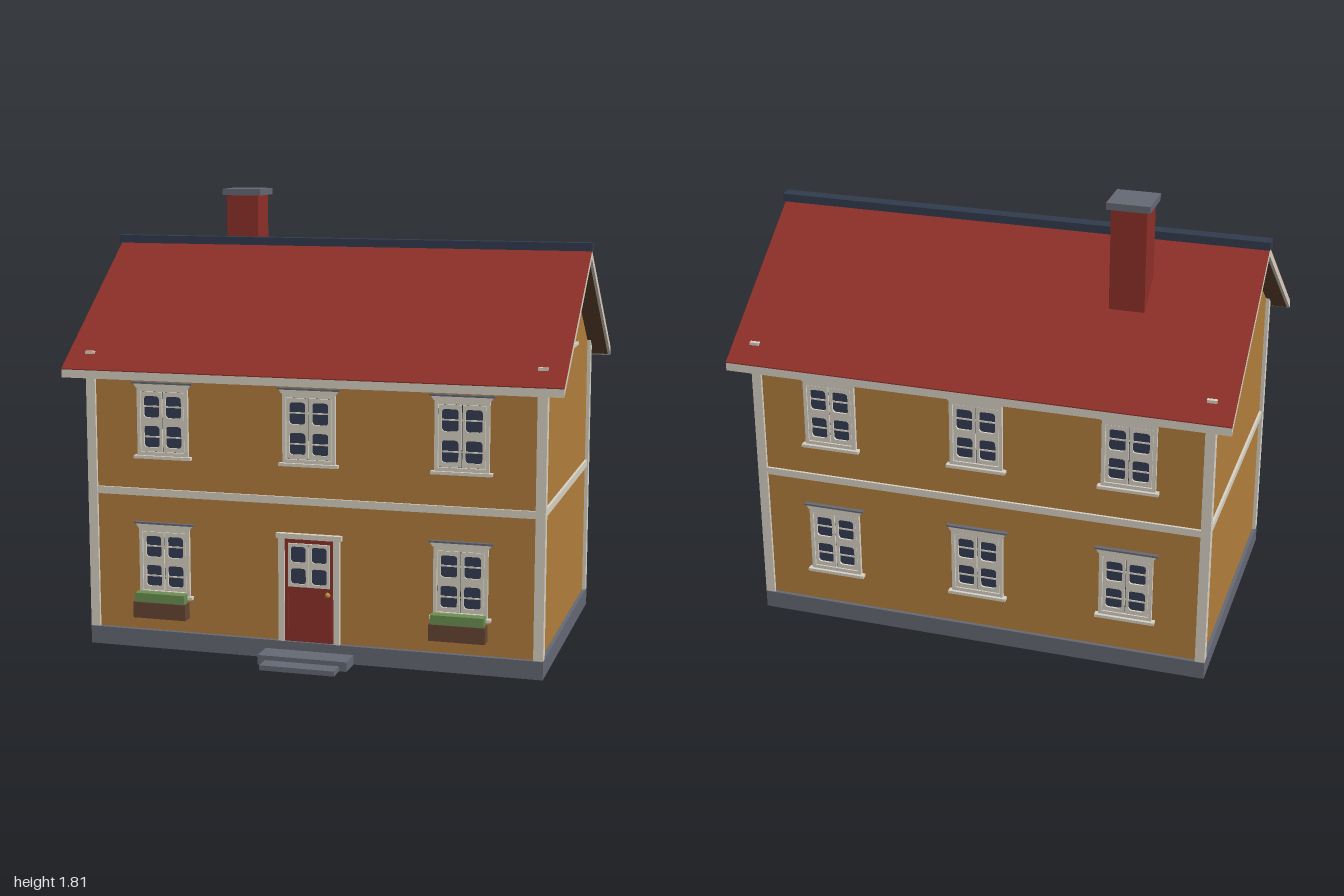
import * as THREE from 'three';

const mat = (name, color) => {
  const m = new THREE.MeshStandardMaterial({ color });
  m.name = name;
  return m;
};

export function createModel() {
  const ochre = mat('ochre boards', 0xb47f3d);
  const red = mat('falu red', 0x8f3029);
  const trim = mat('off-white trim', 0xdad4c6);
  const stone = mat('grey stone', 0x666a76);
  stone.side = THREE.DoubleSide;
  const slate = mat('dark slate', 0x323b4d);
  const glass = mat('dark glass', 0x343d54);
  const wood = mat('brown wood', 0x654633);
  const leaf = mat('leaf green', 0x6c9050);
  const brass = mat('brass', 0xc0903a);

  const model = new THREE.Group();
  model.name = 'house';
  const CZ = -0.05; // ridge line, middle of the house in z
  const HX = 0.924, HZ = 0.572; // half size over the corner boards
  const WX = 0.91, WZ = 0.56; // half size of the walls
  const SLOPE = 0.718;

  function add(parent, name, geo, material, x = 0, y = 0, z = 0) {
    const m = new THREE.Mesh(geo, material);
    m.name = name;
    m.position.set(x, y, z);
    parent.add(m);
    return m;
  }
  // box given by its min and max corners
  function box(parent, name, material, x0, x1, y0, y1, z0, z1) {
    return add(parent, name, new THREE.BoxGeometry(x1 - x0, y1 - y0, z1 - z0), material,
      (x0 + x1) / 2, (y0 + y1) / 2, (z0 + z1) / 2);
  }
  // stone shell without its bottom face
  function shell(name, ...bounds) {
    const geo = box(model, name, stone, ...bounds).geometry;
    const index = Array.from(geo.index.array);
    index.splice(18, 6);
    geo.setIndex(index);
    geo.clearGroups();
  }
  function poly(points) {
    return new THREE.Shape(points.map(p => new THREE.Vector2(p[0], p[1])));
  }
  const rect = (x0, x1, y0, y1) => poly([[x0, y0], [x1, y0], [x1, y1], [x0, y1]]);
  function roundRect(cx, cy, w, h, r) {
    const p = new THREE.Path(), x = w / 2 - r, y = h / 2 - r;
    p.absarc(cx + x, cy + y, r, 0, Math.PI / 2);
    p.absarc(cx - x, cy + y, r, Math.PI / 2, Math.PI);
    p.absarc(cx - x, cy - y, r, Math.PI, Math.PI * 1.5);
    p.absarc(cx + x, cy - y, r, Math.PI * 1.5, Math.PI * 2);
    p.closePath();
    return p;
  }
  const extrude = (shape, depth) =>
    new THREE.ExtrudeGeometry(shape, { depth, bevelEnabled: false, curveSegments: 4 });
  // profile in (z, y) extruded along x, centred on the house
  function alongX(name, points, halfLength, material) {
    const geo = extrude(poly(points), halfLength * 2);
    geo.translate(0, 0, -halfLength);
    geo.rotateY(-Math.PI / 2);
    return add(model, name, geo, material, 0, 0, CZ);
  }

  // hollow foundation, walls, corner boards and belt course
  shell('foundation', -HX, HX, 0, 0.072, CZ - HZ, CZ + HZ);
  const wallTop = 1.575 - WZ * SLOPE;
  alongX('walls', [[-WZ, 0.074], [WZ, 0.074], [WZ, wallTop], [0, 1.575], [-WZ, wallTop]], WX, ochre);
  for (const sx of [-1, 1]) for (const sz of [-1, 1]) {
    const c = box(model, 'cornerBoard', trim, -0.019, 0.019, 0.073, 1.194, -0.019, 0.019);
    c.position.x = sx * (HX - 0.019);
    c.position.z = CZ + sz * (HZ - 0.019);
  }
  box(model, 'beltCourse', trim, -WX - 0.01, WX + 0.01, 0.622, 0.651, CZ - WZ - 0.01, CZ + WZ + 0.01);

  // roof: white-edged slab, red covering, wooden soffit
  function chevron(name, apex, thick, span, halfLength, material) {
    const e = apex - span * SLOPE;
    alongX(name, [[-span, e - thick], [0, apex - thick], [span, e - thick],
      [span, e], [0, apex], [-span, e]], halfLength, material);
  }
  chevron('roofEdge', 1.589, 0.032, 0.643, 0.996, trim);
  chevron('roofCovering', 1.593, 0.004, 0.643, 0.996, red);
  chevron('soffit', 1.557, 0.003, 0.63, 0.985, wood);
  box(model, 'ridgeCap', slate, -1, 1, 1.588, 1.62, CZ - 0.028, CZ + 0.028);

  // chimney
  box(model, 'chimney', red, -0.58, -0.442, 1.36, 1.785, -0.338, -0.2);
  box(model, 'chimneyCap', stone, -0.595, -0.427, 1.785, 1.812, -0.355, -0.187);

  // rounded panes cut from a sash panel, glass behind
  function sash(parent, x0, x1, y0, y1, z, depth) {
    const s = rect(x0, x1, y0, y1);
    const w = x1 - x0, h = (y1 - y0) / 2;
    for (let i = 0; i < 2; i++)
      s.holes.push(roundRect((x0 + x1) / 2, y0 + h * (i + 0.5), w * 0.74, h * 0.72, w * 0.15));
    add(parent, 'sash', extrude(s, depth), trim, 0, 0, z);
  }

  // window facing +z, origin at the middle of the frame on the wall
  function makeWindow(w, h, muntins) {
    const g = new THREE.Group();
    g.name = 'window';
    const x = w / 2, y = h / 2, b = 0.014;
    const casing = rect(-x, x, -y, y);
    casing.holes.push(rect(-x + b, x - b, -y + b, y - b));
    add(g, 'casing', extrude(casing, 0.014), trim);
    box(g, 'glass', glass, -x + b, x - b, -y + b, y - b, -0.002, 0.003);
    sash(g, -x + b + 0.002, -0.002, -y + b + 0.002, y - b - 0.002, 0, 0.011);
    sash(g, 0.002, x - b - 0.002, -y + b + 0.002, y - b - 0.002, 0, 0.011);
    if (muntins) for (const s of [-1, 1])
      box(g, 'muntin', trim, -x + b, x - b, s * y * 0.45 - 0.003, s * y * 0.45 + 0.003, 0, 0.007);
    box(g, 'sill', trim, -x - 0.013, x + 0.013, -y - 0.012, -y, 0, 0.026);
    // flared head moulding with a dark cover strip
    const head = poly([[-x - 0.003, y], [x + 0.003, y], [x + 0.014, y + 0.016], [-x - 0.014, y + 0.016]]);
    add(g, 'headMoulding', extrude(head, 0.015), trim);
    box(g, 'headCover', stone, -x - 0.019, x + 0.019, y + 0.016, y + 0.023, 0, 0.018);
    return g;
  }
  function place(w, x, y, z, turn) {
    w.position.set(x, y, z);
    w.rotation.y = turn;
    model.add(w);
  }
  for (const x of [-0.602, 0, 0.602]) for (const y of [0.358, 0.922]) {
    place(makeWindow(0.212, 0.27, true), x, y, CZ - WZ, Math.PI);
    if (x !== 0 || y > 0.5) place(makeWindow(0.212, 0.27, true), x, y, CZ + WZ, 0);
  }
  for (const s of [-1, 1])
    place(makeWindow(0.18, 0.228, false), s * WX, 1.328, CZ, s * Math.PI / 2);

  // front door
  const door = new THREE.Group();
  door.name = 'door';
  door.position.z = CZ + WZ;
  model.add(door);
  box(door, 'doorLeaf', red, -0.101, 0.101, 0.074, 0.488, 0, 0.008);
  for (const s of [-1, 1]) {
    const j = box(door, 'doorJamb', trim, -0.012, 0.012, 0.074, 0.49, 0, 0.018);
    j.position.x = s * 0.112;
    const stile = box(door, 'doorStile', red, -0.006, 0.006, 0.1, 0.265, 0.008, 0.012);
    stile.position.x = s * 0.09;
  }
  box(door, 'doorHead', trim, -0.132, 0.132, 0.488, 0.508, 0, 0.022);
  box(door, 'doorGlass', glass, -0.08, 0.08, 0.3, 0.465, 0.006, 0.011);
  sash(door, -0.084, -0.001, 0.296, 0.469, 0.008, 0.009);
  sash(door, 0.001, 0.084, 0.296, 0.469, 0.008, 0.009);
  add(door, 'doorKnob', new THREE.SphereGeometry(0.011, 12, 8), brass, 0.076, 0.27, 0.014);

  // hollow steps
  shell('upperStep', -0.18, 0.18, 0, 0.038, CZ + HZ, 0.622);
  shell('lowerStep', -0.15, 0.15, 0, 0.02, 0.622, 0.692);

  // flower boxes under the lower front windows
  for (const x of [-0.602, 0.602]) {
    box(model, 'flowerBox', wood, x - 0.11, x + 0.11, 0.14, 0.204, 0.538, 0.588);
    box(model, 'flowerBoxPlants', leaf, x - 0.104, x + 0.104, 0.204, 0.24, 0.543, 0.583);
  }
  return model;
}
